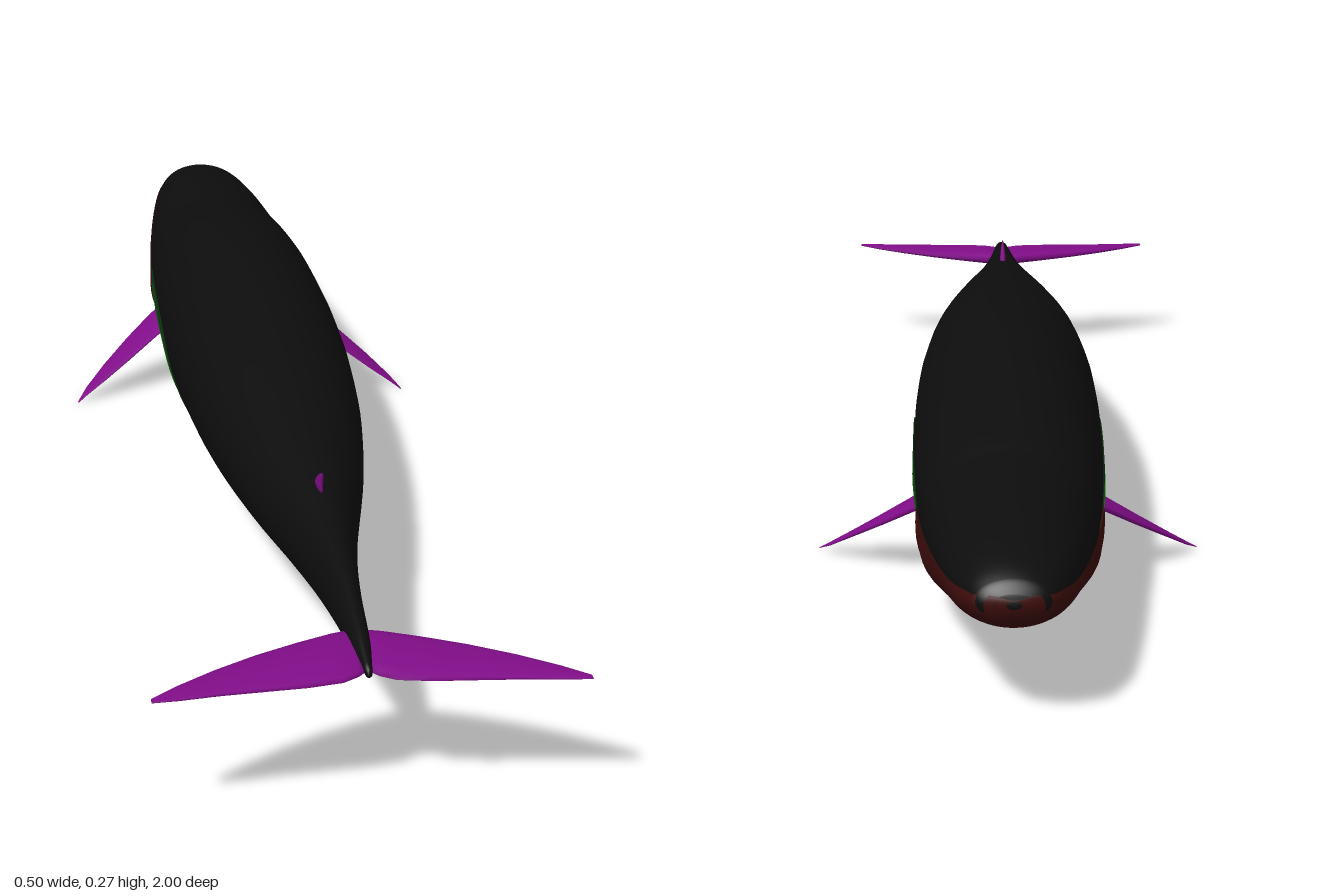
import * as THREE from 'three';

const mat = (name, color, side = THREE.FrontSide) => {
  const m = new THREE.MeshStandardMaterial({ color, side });
  m.name = name;
  return m;
};

// Body profile: z, top y, bottom y, half width (nose at -z, tail at +z)
const BODY = [
  [-1, 0.146, 0.141, 0.006], [-0.997, 0.156, 0.13, 0.028], [-0.985, 0.17, 0.118, 0.045],
  [-0.95, 0.184, 0.104, 0.061], [-0.9, 0.194, 0.09, 0.074], [-0.8, 0.206, 0.07, 0.09],
  [-0.7, 0.213, 0.052, 0.102], [-0.64, 0.218, 0.042, 0.108], [-0.61, 0.226, 0.037, 0.11],
  [-0.55, 0.236, 0.029, 0.115], [-0.4, 0.256, 0.019, 0.122], [-0.2, 0.269, 0.015, 0.125],
  [-0.1, 0.269, 0.021, 0.124], [0, 0.266, 0.032, 0.121], [0.2, 0.253, 0.053, 0.107],
  [0.4, 0.232, 0.077, 0.08], [0.6, 0.212, 0.102, 0.042], [0.7, 0.205, 0.116, 0.027],
  [0.8, 0.196, 0.13, 0.017], [0.9, 0.179, 0.145, 0.011], [0.96, 0.162, 0.152, 0.004],
];

// Smooth (Hermite) lookup of column c in rows keyed by z
function sample(rows, z, c) {
  const n = rows.length;
  let i = 0;
  while (i < n - 2 && z > rows[i + 1][0]) i++;
  const slope = (k) => {
    const a = rows[Math.max(k - 1, 0)], b = rows[Math.min(k + 1, n - 1)];
    return (b[c] - a[c]) / (b[0] - a[0]);
  };
  const p = rows[i], q = rows[i + 1], h = q[0] - p[0];
  const t = THREE.MathUtils.clamp((z - p[0]) / h, 0, 1), t2 = t * t, t3 = t2 * t;
  return (2 * t3 - 3 * t2 + 1) * p[c] + (t3 - 2 * t2 + t) * h * slope(i)
    + (3 * t2 - 2 * t3) * q[c] + (t3 - t2) * h * slope(i + 1);
}

// Skin a list of cross-sections; closed sections wrap and get end caps
function loft(rows, closed, flip = false) {
  const m = rows[0].length, pos = rows.flat().flatMap((p) => [p.x, p.y, p.z]), idx = [];
  const tri = (a, b, c) => idx.push(a, ...(flip ? [c, b] : [b, c]));
  for (let i = 0; i < rows.length - 1; i++) {
    for (let j = 0; j < (closed ? m : m - 1); j++) {
      const a = i * m + j, b = i * m + (j + 1) % m;
      tri(a, b, a + m);
      tri(b, b + m, a + m);
    }
  }
  if (closed) {
    const last = (rows.length - 1) * m;
    for (let j = 1; j < m - 1; j++) {
      tri(0, j + 1, j);
      tri(last, last + j, last + j + 1);
    }
  }
  const g = new THREE.BufferGeometry();
  g.setAttribute('position', new THREE.Float32BufferAttribute(pos, 3));
  g.setIndex(idx);
  g.computeVertexNormals();
  return g;
}

// Point on the body skin; angle t runs from the belly line, out = distance off the skin
function skin(z, t, out = 0) {
  const top = sample(BODY, z, 1), bot = sample(BODY, z, 2), w = sample(BODY, z, 3);
  return new THREE.Vector3((w + out) * Math.sin(t),
    (top + bot) / 2 - ((top - bot) / 2 + out) * Math.cos(t), z);
}

// Subdivide the z stations of a table
function stations(rows, n) {
  const zs = [];
  for (let i = 0; i < rows.length - 1; i++) {
    for (let k = 0; k < n; k++) zs.push(THREE.MathUtils.lerp(rows[i][0], rows[i + 1][0], k / n));
  }
  zs.push(rows[rows.length - 1][0]);
  return zs;
}

// Thin shell over the underside, reaching up to the edge height listed at each z
function underShell(edge, zs, offset) {
  return loft(zs.map((z) => {
    const top = sample(BODY, z, 1), bot = sample(BODY, z, 2);
    const c = ((top + bot) / 2 - sample(edge, z, 1)) / ((top - bot) / 2);
    const T = Math.acos(THREE.MathUtils.clamp(c, -1, 1));
    return Array.from({ length: 37 }, (_, j) => {
      const t = T * (j / 18 - 1);
      return skin(z, t, offset(z, t));
    });
  }), false);
}

// Lens-section fin: sections are [leading edge, trailing edge, thickness]
function fin(sections, normal, mirror = false) {
  const N = 14, n = new THREE.Vector3(...normal);
  const rows = sections.map(([l, t, thick]) => {
    const lead = new THREE.Vector3(...l), trail = new THREE.Vector3(...t);
    const mid = lead.clone().add(trail).multiplyScalar(0.5), half = lead.clone().sub(mid);
    return Array.from({ length: N }, (_, j) => {
      const a = (j / N) * Math.PI * 2;
      const p = mid.clone().addScaledVector(half, Math.cos(a))
        .addScaledVector(n, (thick / 2) * Math.sin(a) * (1 + 0.3 * Math.cos(a)));
      if (mirror) p.x *= -1;
      return p;
    });
  });
  return loft(rows, true, mirror);
}

export function createModel() {
  const model = new THREE.Group();
  model.name = 'whale';
  const black = mat('bodyBlack', 0x0d0d0d);
  const purple = mat('finPurple', 0x800d88);
  const darkGreen = mat('bellyEdgeGreen', 0x0e3c10, THREE.DoubleSide);
  const green = mat('bellyGreen', 0x0c7d10, THREE.DoubleSide);
  const red = mat('jawRed', 0x400d0d, THREE.DoubleSide);
  const add = (name, geometry, material) => {
    const mesh = new THREE.Mesh(geometry, material);
    mesh.name = name;
    model.add(mesh);
  };

  // Body
  const ring = Array.from({ length: 48 }, (_, j) => (j / 48) * Math.PI * 2);
  add('body', loft(stations(BODY, 5).map((z) => ring.map((t) => skin(z, t))), true), black);

  // Belly patches
  const outer = [[-0.575, 0.12], [-0.54, 0.14], [-0.45, 0.15], [-0.25, 0.149], [-0.15, 0.137],
    [-0.08, 0.112], [-0.035, 0.075], [-0.02, 0.05], [-0.012, 0.03]];
  const inner = [[-0.565, 0.085], [-0.545, 0.108], [-0.5, 0.124], [-0.25, 0.12], [-0.18, 0.111],
    [-0.14, 0.098], [-0.105, 0.07], [-0.095, 0.05], [-0.088, 0.02]];
  add('bellyEdge', underShell(outer, stations(outer, 5), () => 0.0015), darkGreen);
  add('belly', underShell(inner, stations(inner, 5), () => 0.003), green);

  // Lower jaw, with a fuller lip at its rear end
  const jawEdge = [[-1, 0.152], [-0.95, 0.15], [-0.8, 0.14], [-0.65, 0.132], [-0.55, 0.125]];
  const jawZ = [...BODY.slice(0, 4).map((r) => r[0]), ...stations(jawEdge.slice(1), 8).slice(1)];
  const bulge = (z) => 0.018 * THREE.MathUtils.smoothstep(z, -0.9, -0.57);
  const jawOut = (z, t) => (z > -0.551 ? -0.004
    : 0.0025 + bulge(z) * Math.sin(Math.min(2 * Math.abs(t), Math.PI)) ** 2);
  add('lowerJaw', underShell(jawEdge, jawZ, jawOut), red);

  // Paired flippers and tail flukes
  const flipper = [
    [[0.095, 0.107, -0.47], [0.095, 0.105, -0.375], 0.014],
    [[0.125, 0.091, -0.452], [0.125, 0.084, -0.366], 0.012],
    [[0.165, 0.064, -0.42], [0.165, 0.056, -0.348], 0.009],
    [[0.205, 0.036, -0.38], [0.205, 0.029, -0.332], 0.006],
    [[0.235, 0.013, -0.345], [0.235, 0.01, -0.32], 0.003],
    [[0.25, 0.001, -0.317], [0.25, 0, -0.312], 0.001],
  ];
  // Fluke stations: x, leading z, trailing z, thickness
  const fluke = [
    [0, 0.85, 0.95, 0.012], [0.012, 0.852, 0.964, 0.02], [0.03, 0.858, 0.976, 0.021],
    [0.07, 0.875, 0.984, 0.018], [0.12, 0.9, 0.988, 0.014], [0.17, 0.931, 0.992, 0.01],
    [0.215, 0.964, 0.998, 0.006], [0.245, 0.99, 1, 0.002],
  ].map(([x, l, t, d]) => [[x, 0.156, l], [x, 0.156, t], d]);
  for (const [side, mirror] of [['left', false], ['right', true]]) {
    add(`${side}Flipper`, fin(flipper, [0.57, 0.82, 0], mirror), purple);
    add(`${side}Fluke`, fin(fluke, [0, 1, 0], mirror), purple);
  }

  // Small hooked dorsal fin
  add('dorsalFin', fin([
    [[0, 0.205, 0.52], [0, 0.205, 0.58], 0.01],
    [[0, 0.222, 0.545], [0, 0.222, 0.578], 0.008],
    [[0, 0.234, 0.565], [0, 0.234, 0.582], 0.005],
    [[0, 0.242, 0.584], [0, 0.242, 0.588], 0.001],
  ], [-1, 0, 0]), purple);

  return model;
}
